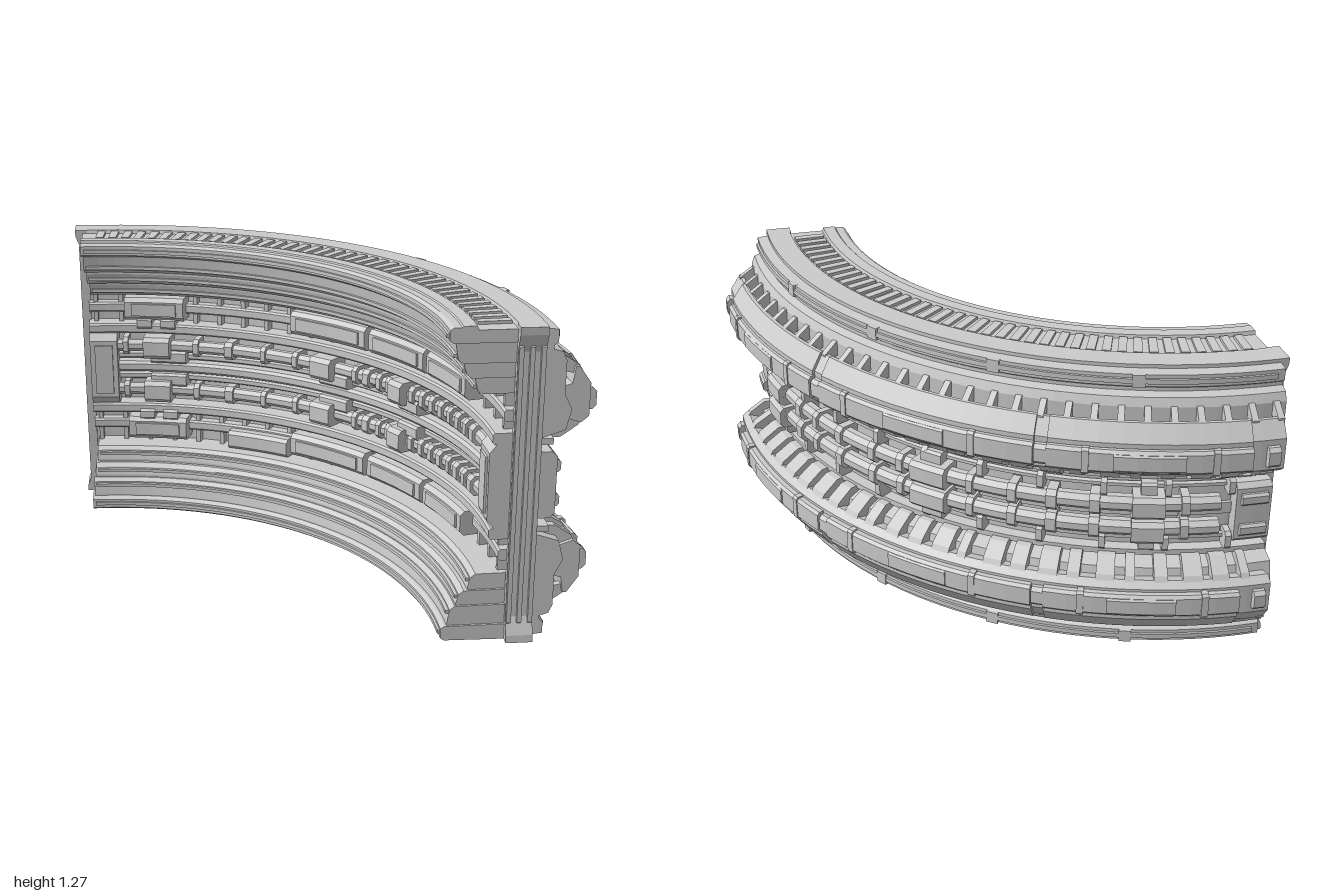
import * as THREE from 'three';
import { mergeGeometries } from 'three/addons/utils/BufferGeometryUtils.js';

const H = 1.27, CX = -0.965, CZ = 0.96; // wall height and centre of the arc
const rad = THREE.MathUtils.degToRad;

// Chamfered rectangle in (radius, height)
function rect(r0, r1, y0, y1, c = 0) {
  if (!c) return [[r0, y0], [r1, y0], [r1, y1], [r0, y1]];
  return [[r0 + c, y0], [r1 - c, y0], [r1, y0 + c], [r1, y1 - c],
    [r1 - c, y1], [r0 + c, y1], [r0, y1 - c], [r0, y0 + c]];
}

// Round pipe section
function disc(r, y, a, n = 8) {
  return Array.from({ length: n }, (_, i) => {
    const t = (i + 0.5) / n * Math.PI * 2;
    return [r + a * Math.cos(t), y + a * Math.sin(t)];
  });
}

// Sweep a (radius, height) profile along the arc, from angle a to b in degrees
function sweep(profile, a, b) {
  const shape = new THREE.Shape(profile.map(p => new THREE.Vector2(...p)));
  const geo = new THREE.ExtrudeGeometry(shape, {
    depth: 1, steps: Math.max(1, Math.round((b - a) / 2.8)), bevelEnabled: false,
  });
  const pos = geo.attributes.position;
  for (let i = 0; i < pos.count; i++) {
    const r = pos.getX(i), t = rad(b - pos.getZ(i) * (b - a));
    pos.setXYZ(i, CX + r * Math.cos(t), pos.getY(i), CZ - r * Math.sin(t));
  }
  geo.computeVertexNormals();
  return geo;
}

export function createModel() {
  const group = new THREE.Group();
  const material = new THREE.MeshStandardMaterial({ color: 0xcccccc, flatShading: true });
  const parts = {};
  let seed = 7;
  const rnd = () => (seed = (seed * 16807) % 2147483647) / 2147483647;
  const put = (name, geo) => (parts[name] ??= []).push(geo);
  const add = (name, profile, a = 0, b = 90) => put(name, sweep(profile, a, b));
  const flip = profile => profile.map(([r, y]) => [r, H - y]);
  const both = (name, profile, a, b) => {
    add(name, profile, a, b);
    add(name, flip(profile), a, b);
  };

  // Wall core
  add('wallCore', rect(1.65, 1.74, 0.2, 1.07));

  // Upper and lower beams; only the upper one has a tread channel
  const outer = [[1.65, 1.205], [1.65, 1.0], [1.74, 0.83], [1.83, 0.86], [1.85, 0.94], [1.82, 1.0],
    [1.82, 1.13], [1.805, 1.165], [1.77, 1.175], [1.77, 1.19], [1.785, 1.2], [1.785, 1.25], [1.74, 1.255], [1.74, 1.27]];
  const lip = [[1.4, 1.265], [1.385, 1.255], [1.385, 1.215], [1.4, 1.205]];
  const channel = [[1.64, 1.27], [1.635, 1.255], [1.49, 1.255], [1.485, 1.27], [1.435, 1.27], [1.43, 1.265]];
  add('upperBeam', [...outer, ...channel, ...lip]);
  add('lowerBeam', flip([...outer, ...lip]));
  for (let t = 2.5; t < 88.5; t += 2.15) add('topSlats', rect(1.5, 1.628, 1.25, 1.267), t, t + 1.25);

  // Tiers stepping back under the inner lip, each slightly shorter than the last
  const tiers = [[1.42, 1.125, 1.21], [1.455, 1.065, 1.125], [1.5, 1.0, 1.065]];
  tiers.forEach(([r, y0, y1], i) => {
    const s = 0.35 * (i + 1);
    both('innerTiers', [[1.66, y0], [r + 0.02, y0], [r, y0 + 0.015], [r - 0.01, y1 - 0.01], [r - 0.01, y1], [1.66, y1]], s, 90 - s);
    both('innerMoulding', rect(r - 0.015, r + 0.02, y0 + 0.02, y0 + 0.034), s + 0.4, 89.6 - s);
  });
  both('innerMoulding', rect(1.375, 1.4, 1.225, 1.24), 0.5, 89.5);
  both('outerMoulding', rect(1.77, 1.795, 1.215, 1.235), 1, 89);
  for (const t of [18, 36, 54, 72]) both('jointPlates', rect(1.76, 1.797, 1.2, 1.252), t - 0.8, t + 0.8);

  // Outer flange carrying three armour segments, with clamps at the gaps
  const flange = [[1.82, 0.9], [1.895, 0.875], [1.925, 0.9], [1.925, 1.03], [1.88, 1.095], [1.865, 1.095], [1.855, 1.03], [1.82, 1.02]];
  both('outerFlange', flange, 1, 89);
  for (const [a, b] of [[5, 29.5], [31.2, 60.5], [62, 85]]) {
    both('armourSegments', rect(1.9, 1.958, 0.912, 1.012, 0.012), a, b);
    both('flangeCover', [[1.91, 1.01], [1.937, 1.015], [1.937, 1.035], [1.89, 1.102], [1.875, 1.102], [1.875, 1.06]], a, b);
    const m = (a + b) / 2;
    both('armourPanels', rect(1.93, 1.965, 0.925, 1.0, 0.008), m - 4, m + 4);
    for (const t of [a + 4, m + 7])
      both('armourBands', rect(1.9, 1.962, 0.905, 1.018, 0.01), t, t + 0.8);
  }
  for (const t of [2.2, 30.4, 61.3, 87.5])
    both('flangeClamps', rect(1.85, 1.955, 0.92, 1.005, 0.015), t - 0.7, t + 0.7);

  // Short struts bridging the gap between beam and flange
  const strut = [[1.8, 1.08], [1.8, 1.135], [1.825, 1.135], [1.885, 1.095], [1.885, 1.06]];
  for (let t = 1.5; t < 89; t += 3.1) both('flangeStruts', strut, t, t + 0.8);

  // Teeth under the flange: broad in the first stretch, then uneven
  for (let t = 1.5; t < 87; t += 3.5) {
    const w = t > 7 && t < 29 ? 2.5 : 1 + rnd() * 1.5, d = rnd() * 0.015;
    both('flangeTeeth', [[1.74, 0.815], [1.81 + d, 0.815], [1.89, 0.86], [1.91, 0.895], [1.82, 0.905], [1.74, 0.85]], t, t + w);
  }
  both('outerLedge', rect(1.73, 1.79, 0.8, 0.825), 0.3, 89.7);

  // Pipe runs in the middle of the outer face, with collars and machine boxes
  both('outerPipes', disc(1.79, 0.69, 0.036), 7, 83);
  both('outerConduit', disc(1.755, 0.755, 0.014, 6), 1, 89);
  add('outerSpine', rect(1.73, 1.755, 0.61, 0.66), 1, 89);
  for (let t = 9; t < 82; t += 4.5 + rnd() * 2)
    both('outerCollars', rect(1.73, 1.835, 0.642, 0.735, 0.02), t, t + 0.7 + rnd() * 0.7);
  for (const [a, b] of [[11, 15.5], [43, 48], [72, 76]]) {
    both('outerBoxes', rect(1.73, 1.855, 0.642, 0.74, 0.018), a, b);
    both('outerBoxes', rect(1.73, 1.815, 0.73, 0.79, 0.01), a + 1, b - 1);
  }
  for (let t = 20; t < 88; t += 8) both('outerHoops', rect(1.73, 1.81, 0.72, 0.8, 0.015), t, t + 0.8);

  // Inner ledges, recess panels and equipment boxes
  both('innerLedge', rect(1.56, 1.66, 0.805, 0.85, 0.008), 0.4, 89.6);
  both('recessRail', rect(1.6, 1.66, 0.895, 0.94, 0.008), 0.5, 89.5);
  for (let t = 2; t < 89; t += 4.1) both('recessRibs', rect(1.61, 1.66, 0.84, 1.0), t, t + 0.7);
  for (const [a, b] of [[73.5, 83.5], [12, 24], [25, 38], [39, 54]]) {
    both('recessBoxes', rect(1.545, 1.66, 0.87, 0.975, 0.018), a, b);
    both('recessPanels', rect(1.535, 1.56, 0.895, 0.95), a + 1.2, b - 1.2);
  }
  add('recessBoxes', rect(1.55, 1.66, 0.275, 0.36, 0.015), 55, 66);
  for (const t of [75, 79]) both('ledgeBlocks', rect(1.55, 1.64, 0.83, 0.88, 0.01), t, t + 2.5);

  // Inner pipe runs with collars and boxes
  both('innerPipes', disc(1.6, 0.74, 0.03), 6, 86);
  both('innerPipes', disc(1.63, 0.685, 0.018, 6), 4, 86);
  add('innerSpine', rect(1.59, 1.66, 0.61, 0.66, 0.012), 5, 86);
  for (let t = 10; t < 84; t += t < 40 ? 2.6 : 6)
    both('innerCollars', rect(1.56, 1.66, 0.7, 0.782, 0.018), t, t + 0.8 + rnd() * 0.6);
  for (const [a, b] of [[76, 80.5], [46, 50], [30, 33]]) {
    both('innerBoxes', rect(1.53, 1.66, 0.69, 0.79, 0.018), a, b);
    both('innerBoxes', rect(1.57, 1.66, 0.66, 0.72, 0.01), a - 2.5, b - 1);
  }

  // Tall tapered end housings on the inner face, flat ones on the outer face
  for (const [a, b] of [[0.4, 5], [85, 89.6]]) {
    add('innerEndHousing', [[1.65, 0.45], [1.59, 0.45], [1.55, 0.5], [1.55, 0.77], [1.59, 0.82], [1.65, 0.82]], a, b);
    add('innerEndPanel', rect(1.54, 1.56, 0.52, 0.75), a + 0.8, b - 0.8);
    add('outerEndHousing', rect(1.73, 1.81, 0.5, 0.77, 0.02), a, b);
    for (const y of [0.54, 0.68]) add('outerEndBlocks', rect(1.78, 1.83, y, y + 0.05, 0.01), a + 0.6, b - 0.6);
  }

  // End pillars flaring at head and foot, with raised rails along each face
  const pillar = (name, r0, r1, outline) => {
    const shape = new THREE.Shape(outline.map(p => new THREE.Vector2(...p)));
    const make = () => new THREE.ExtrudeGeometry(shape, { depth: r1 - r0, bevelEnabled: false });
    put(name, make().rotateY(Math.PI / 2).translate(CX + r0, 0, CZ));
    put(name, make().translate(CX, 0, CZ - r1));
  };
  pillar('endPillars', 1.635, 1.74, [[0.02, 0], [0.02, H], [-0.035, H], [-0.033, 1.24], [-0.006, 1.17],
    [-0.006, 0.1], [-0.033, 0.03], [-0.035, 0]]);
  for (const r of [1.637, 1.678, 1.72])
    pillar('pillarRails', r, r + 0.018, [[0, 0.06], [0, 1.21], [-0.02, 1.19], [-0.02, 0.08]]);

  for (const [name, list] of Object.entries(parts)) {
    const mesh = new THREE.Mesh(mergeGeometries(list), material);
    mesh.name = name;
    group.add(mesh);
  }
  return group;
}
